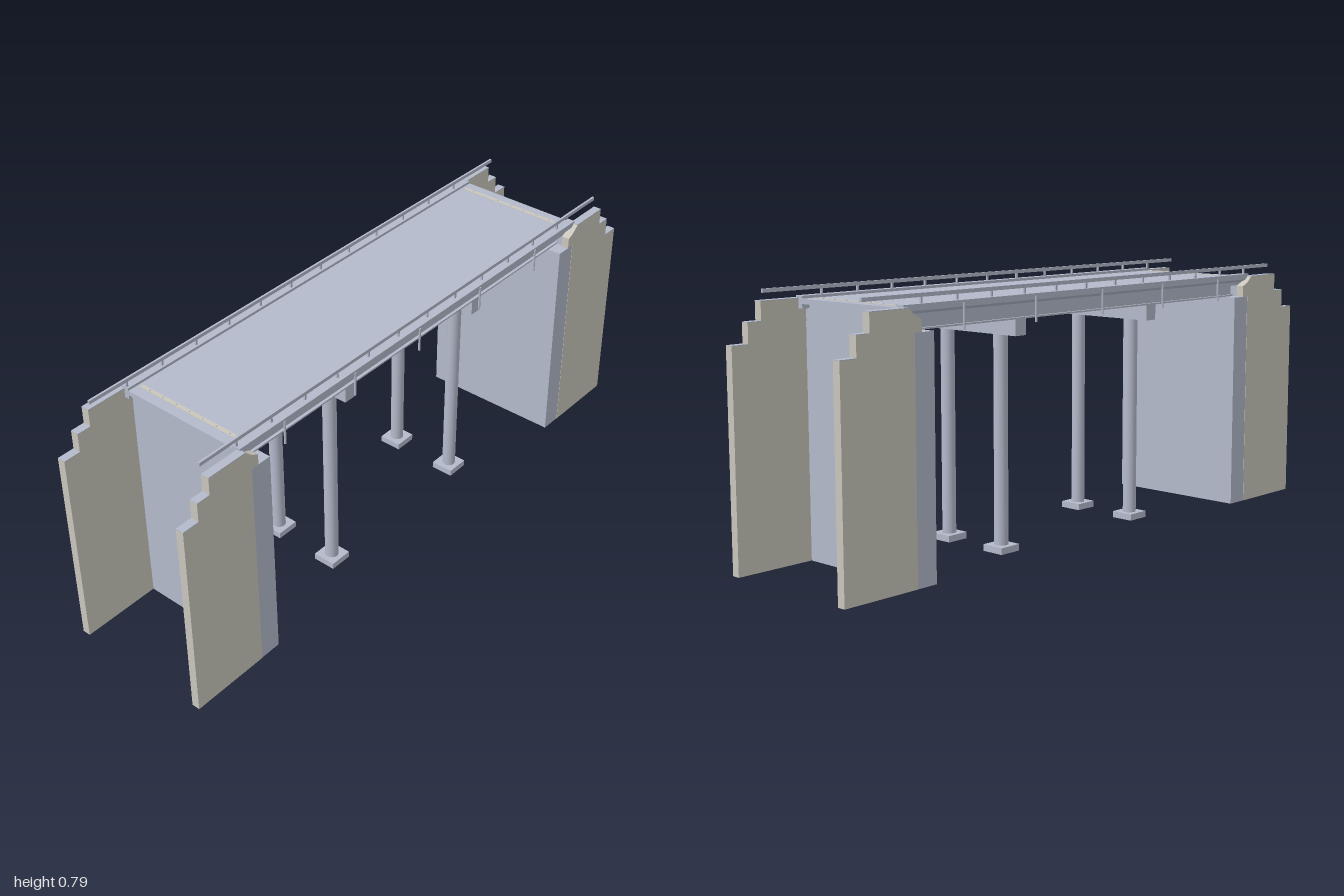
import * as THREE from 'three';

const steel = new THREE.MeshStandardMaterial({ color: 0xb4bacb });
steel.name = 'blue grey concrete';
const stone = new THREE.MeshStandardMaterial({ color: 0xc8c6bc });
stone.name = 'beige stone';

export function createModel() {
  const model = new THREE.Group();
  model.name = 'bridge';

  const add = (name, geometry, material, x, y, z) => {
    const mesh = new THREE.Mesh(geometry, material);
    mesh.name = name;
    mesh.position.set(x, y, z);
    model.add(mesh);
    return mesh;
  };
  // box given by its lower and upper limits on each axis
  const box = (name, x0, x1, y0, y1, z0, z1, material = steel) =>
    add(name, new THREE.BoxGeometry(x1 - x0, y1 - y0, z1 - z0), material,
      (x0 + x1) / 2, (y0 + y1) / 2, (z0 + z1) / 2);
  const mirrored = (s, a, b) => (s > 0 ? [a, b] : [-b, -a]);

  // thin bar between two points
  const bar = (name, a, b, t) => {
    const d = b.clone().sub(a);
    const mesh = add(name, new THREE.BoxGeometry(t, d.length(), t), steel, 0, 0, 0);
    mesh.position.copy(a).add(b).multiplyScalar(0.5);
    mesh.quaternion.setFromUnitVectors(new THREE.Vector3(0, 1, 0), d.normalize());
  };

  // abutments with stepped wing walls
  const profile = [[0.745, 0], [1, 0], [1, 0.64], [0.945, 0.64], [0.945, 0.7], [0.9, 0.7],
    [0.9, 0.755], [0.765, 0.755], [0.742, 0.735], [0.72, 0.725], [0.72, 0.69], [0.745, 0.69]];
  for (const sx of [-1, 1]) {
    box('abutment', ...mirrored(sx, 0.675, 0.745), 0, 0.69, -0.236, 0.236);
    box('backWall', ...mirrored(sx, 0.725, 0.745), 0.69, 0.74, -0.21, 0.21);
    box('expansionJoint', ...mirrored(sx, 0.724, 0.738), 0.754, 0.7565, -0.185, 0.185, stone);
    for (let i = 0; i < 7; i++) {
      const z = -0.15 + i * 0.05;
      box('jointBolt', ...mirrored(sx, 0.729, 0.733), 0.756, 0.758, z - 0.002, z + 0.002);
    }
    const points = profile.map(([x, y]) => new THREE.Vector2(sx * x, y));
    for (const sz of [-1, 1]) {
      const wall = new THREE.ExtrudeGeometry(new THREE.Shape(points), { depth: 0.026, bevelEnabled: false });
      add('wingWall', wall, stone, 0, 0, sz > 0 ? 0.211 : -0.237);
      const zs = mirrored(sz, 0.211, 0.237);
      for (const [x0, x1, y] of [[0.945, 1, 0.64], [0.9, 0.945, 0.7], [0.765, 0.9, 0.755]]) {
        box('wallCoping', ...mirrored(sx, x0, x1), y, y + 0.002, ...zs);
      }
    }
  }

  // deck slab and edge curbs
  box('deck', -0.77, 0.77, 0.74, 0.755, -0.2, 0.2);
  const curb = new THREE.Shape([[0.195, 0.727], [0.211, 0.727], [0.211, 0.737], [0.222, 0.745],
    [0.222, 0.763], [0.195, 0.763]].map(([z, y]) => new THREE.Vector2(z, y)));
  for (const sz of [-1, 1]) {
    const g = new THREE.ExtrudeGeometry(curb, { depth: 1.54, bevelEnabled: false });
    g.translate(0, 0, -0.77);
    // the curb on the other side is the same piece turned half round
    add('curb', g, steel, 0, 0, 0).rotation.y = sz > 0 ? -Math.PI / 2 : Math.PI / 2;

    // handrail with posts
    box('handrail', -0.9, 0.9, 0.779, 0.79, sz * 0.205 - 0.0035, sz * 0.205 + 0.0035);
    for (let i = 0; i < 12; i++) {
      const x = -0.765 + i * 0.1325;
      box('railPost', x - 0.003, x + 0.003, 0.755, 0.782, sz * 0.205 - 0.003, sz * 0.205 + 0.003);
    }
    // drain pipes
    for (const x of [-0.6, -0.312, -0.025, 0.265, 0.55]) {
      add('drainPipe', new THREE.CylinderGeometry(0.0035, 0.0035, 0.075, 8), steel, x, 0.719, sz * 0.222);
    }
  }

  // longitudinal girders: web and two flanges
  const girderZ = [-0.18, -0.09, 0, 0.09, 0.18];
  for (const z of girderZ) {
    box('girderWeb', -0.725, 0.725, 0.695, 0.74, z - 0.003, z + 0.003);
    box('girderBottomFlange', -0.725, 0.725, 0.69, 0.695, z - 0.012, z + 0.012);
    box('girderTopFlange', -0.725, 0.725, 0.735, 0.74, z - 0.012, z + 0.012);
  }

  // cross frames between girders
  for (let i = 0; i < 13; i++) {
    const x = -0.69 + i * 0.115;
    for (let j = 0; j < 4; j++) {
      const z0 = girderZ[j] + 0.003, z1 = girderZ[j + 1] - 0.003;
      const p = (y, z) => new THREE.Vector3(x, y, z);
      bar('crossBrace', p(0.697, z0), p(0.734, z1), 0.004);
      bar('crossBrace', p(0.734, z0), p(0.697, z1), 0.004);
      bar('crossStrut', p(0.698, z0), p(0.698, z1), 0.005);
    }
  }

  // piers: cap beam on two round columns with footings
  for (const x of [-0.295, 0.295]) {
    box('pierCap', x - 0.022, x + 0.022, 0.642, 0.69, -0.19, 0.19);
    for (const z of [-0.11, 0.11]) {
      add('column', new THREE.CylinderGeometry(0.021, 0.021, 0.625, 32), steel, x, 0.33, z);
      box('footing', x - 0.037, x + 0.037, 0, 0.02, z - 0.037, z + 0.037);
    }
  }
  return model;
}
